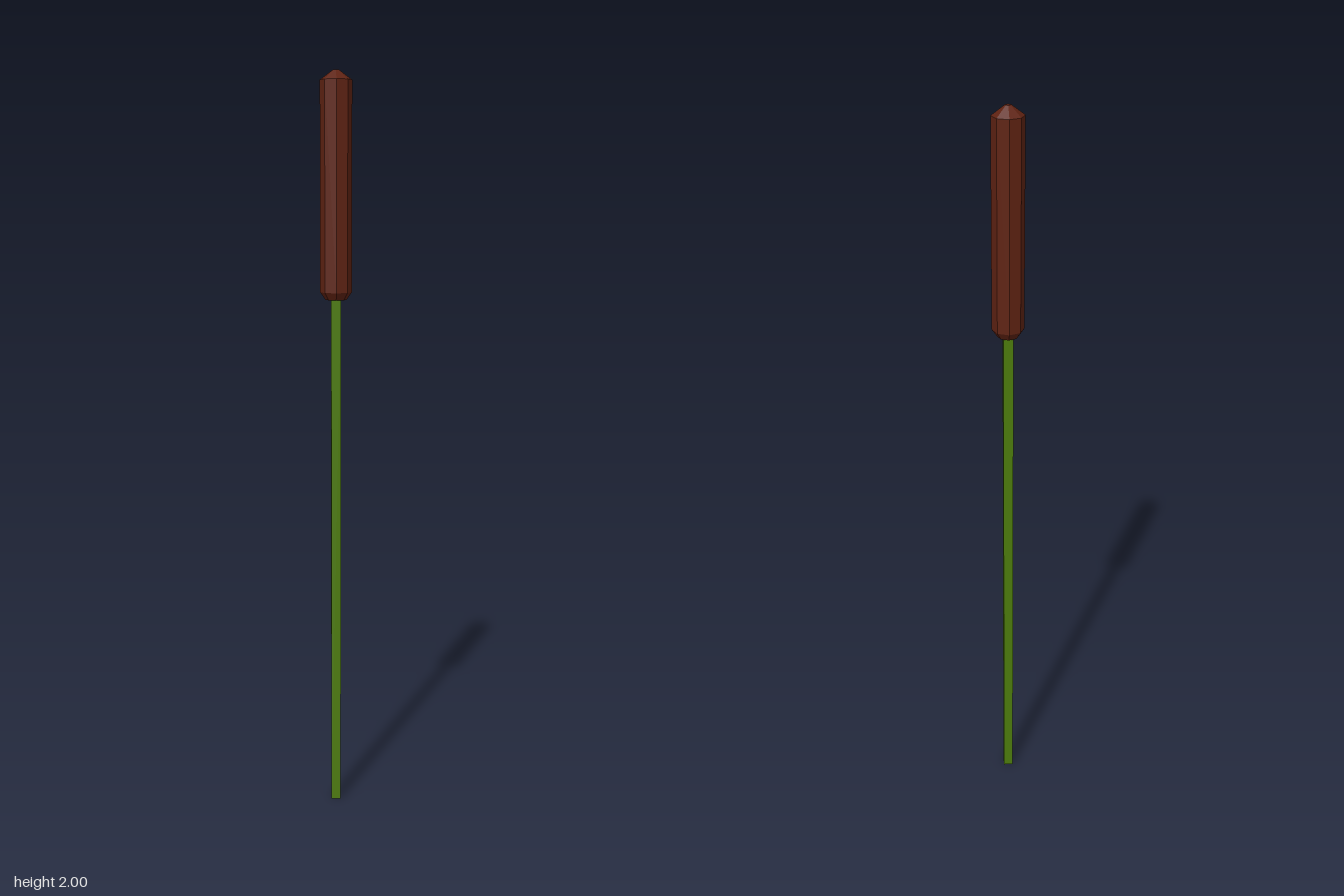
import * as THREE from 'three';

export function createModel() {
  const model = new THREE.Group();
  model.name = 'cattail';

  const addPart = (name, geometry, color) => {
    const material = new THREE.MeshStandardMaterial({ color, flatShading: true });
    const mesh = new THREE.Mesh(geometry, material);
    mesh.name = name;
    model.add(mesh);
  };

  // Square stem, running a little way into the seed head
  const stemHeight = 1.42;
  const stem = new THREE.BoxGeometry(0.026, stemHeight, 0.026);
  stem.translate(0, stemHeight / 2, 0);
  addPart('stem', stem, 0x4c7a0c);

  // Eight-sided seed head with chamfered base and blunt pointed tip
  const profile = [
    [0, 1.41], [0.028, 1.41], [0.042, 1.43], [0.042, 1.975], [0.008, 2], [0, 2],
  ].map(([r, y]) => new THREE.Vector2(r, y));
  addPart('seedHead', new THREE.LatheGeometry(profile, 8), 0x5e2212);

  return model;
}
